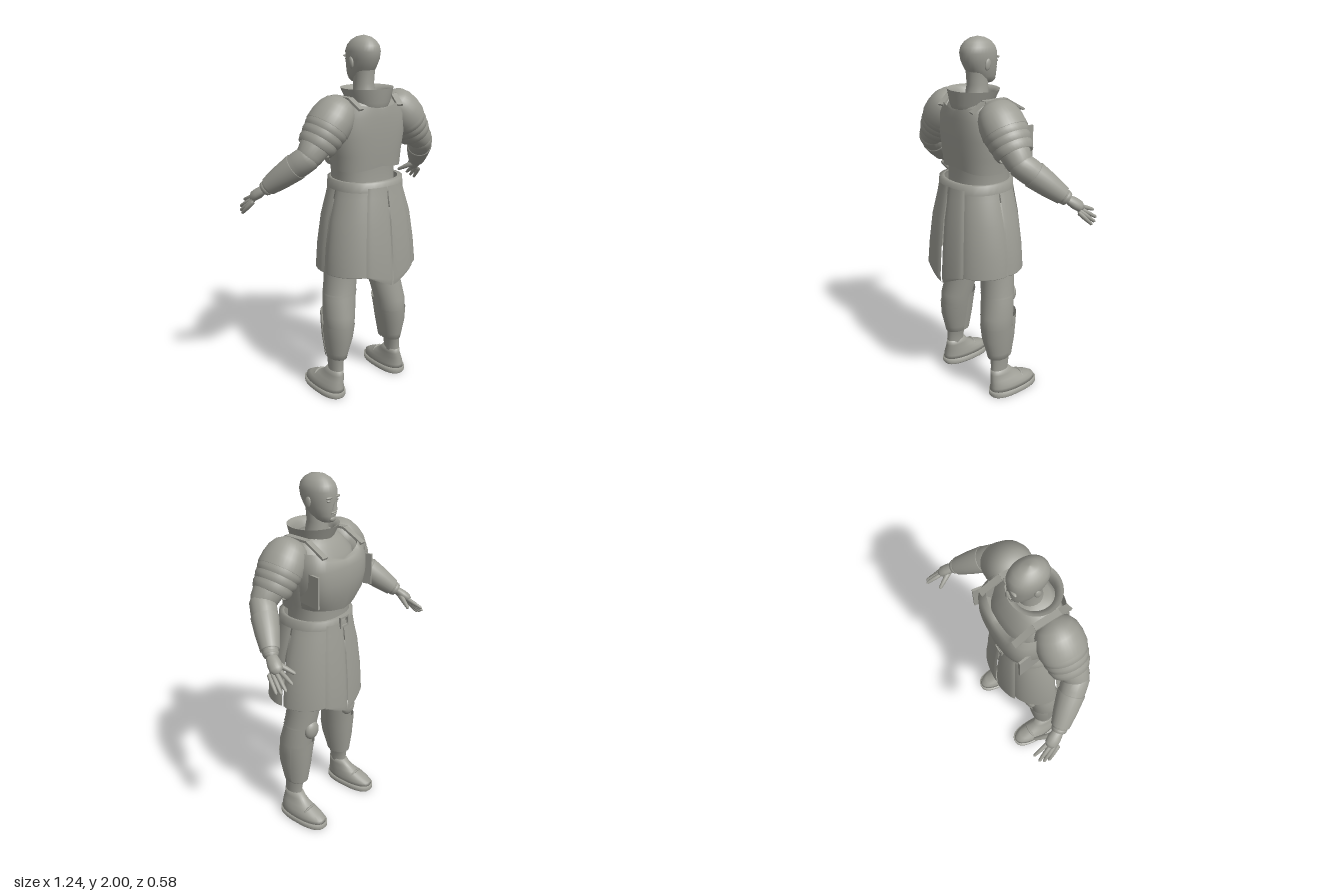
import * as THREE from 'three';

const PI = Math.PI;
const gray = new THREE.MeshStandardMaterial({ color: 0x9d9d95, side: THREE.DoubleSide });
gray.name = 'stone gray';
const V = (x, y, z) => new THREE.Vector3(x, y, z);

function add(parent, name, geo) {
  const mesh = new THREE.Mesh(geo, gray);
  mesh.name = name;
  parent.add(mesh);
  return mesh;
}

// Stack of rounded horizontal sections [y, x0, x1, z0, z1], from low to high.
// Angle 0 is +z, PI is -z; a partial arc makes an open plate.
function loft(secs, { a0 = 0, a1 = 2 * PI, n = 32, pow = 2, cap = false, warp } = {}) {
  const closed = a1 - a0 > 6.28, cols = closed ? n : n + 1;
  const pos = [], idx = [], p = V(0, 0, 0);
  const rows = cap ? [[secs[0], 0], ...secs.map(s => [s, 1]), [secs.at(-1), 0]] : secs.map(s => [s, 1]);
  rows.forEach(([[y, x0, x1, z0, z1], k], i) => {
    for (let j = 0; j < cols; j++) {
      const t = a0 + (a1 - a0) * j / n, s = Math.sin(t), c = Math.cos(t);
      const q = k / Math.pow(Math.abs(s) ** pow + Math.abs(c) ** pow, 1 / pow);
      p.set((x0 + x1) / 2 + (x1 - x0) / 2 * s * q, y, (z0 + z1) / 2 + (z1 - z0) / 2 * c * q);
      if (warp) warp(p, i / (rows.length - 1), j / n);
      pos.push(p.x, p.y, p.z);
    }
  });
  for (let i = 0; i < rows.length - 1; i++)
    for (let j = 0; j < n; j++) {
      const a = i * cols + j, b = i * cols + (j + 1) % cols;
      idx.push(a, b, b + cols, a, b + cols, a + cols);
    }
  const g = new THREE.BufferGeometry();
  g.setAttribute('position', new THREE.Float32BufferAttribute(pos, 3));
  g.setIndex(idx);
  g.computeVertexNormals();
  return g;
}

// Symmetric sections [y, halfWidth, z0, z1]
const sym = list => list.map(([y, w, z0, z1]) => [y, -w, w, z0, z1]);

// Turned shape along a to b; profile of [radius, fraction of the length]
function limb(parent, name, a, b, profile, scaleZ = 1, sides = 24) {
  const dir = b.clone().sub(a), len = dir.length();
  const m = add(parent, name, new THREE.LatheGeometry(
    profile.map(([r, t]) => new THREE.Vector2(r, t * len)), sides));
  m.position.copy(a);
  m.quaternion.setFromUnitVectors(V(0, 1, 0), dir.normalize());
  m.scale.z = scaleZ;
  return m;
}

function ball(parent, name, x, y, z, rx, ry, rz) {
  const m = add(parent, name, new THREE.SphereGeometry(1, 20, 14));
  m.position.set(x, y, z);
  m.scale.set(rx, ry, rz);
  return m;
}

function box(parent, name, w, h, d, x, y, z) {
  const m = add(parent, name, new THREE.BoxGeometry(w, h, d));
  m.position.set(x, y, z);
  return m;
}

// Flat bar between two points
function bar(parent, name, a, b, w, h) {
  const m = box(parent, name, w, h, a.distanceTo(b), 0, 0, 0);
  m.position.copy(a).lerp(b, 0.5);
  m.lookAt(b);
}

function buildHead() {
  const g = new THREE.Group();
  g.name = 'head';
  add(g, 'neck', loft(sym([[1.62, .075, -.04, .12], [1.70, .06, -.035, .09], [1.76, .053, -.035, .08], [1.83, .056, -.03, .085]])));
  add(g, 'skull', loft(sym([[1.763, .026, -.068, -.01], [1.775, .042, -.08, .035], [1.80, .058, -.086, .066], [1.84, .069, -.088, .094],
    [1.88, .077, -.088, .114], [1.92, .08, -.088, .121], [1.95, .073, -.076, .114], [1.975, .056, -.054, .094],
    [1.992, .032, -.022, .065], [2, .004, .018, .026]]), { cap: true, pow: 2.1 }));
  const nose = add(g, 'nose', new THREE.ConeGeometry(.017, .05, 8));
  nose.position.set(0, 1.857, -.092);
  nose.rotation.x = -.2;
  ball(g, 'upperLip', 0, 1.818, -.086, .021, .005, .008);
  ball(g, 'lowerLip', 0, 1.809, -.085, .018, .005, .008);
  ball(g, 'chin', 0, 1.782, -.075, .022, .016, .013);
  for (const s of [-1, 1]) {
    ball(g, 'brow', s * .03, 1.893, -.079, .024, .007, .01);
    ball(g, 'eye', s * .03, 1.876, -.076, .014, .007, .008);
    ball(g, 'ear', s * .08, 1.865, .018, .009, .03, .018).rotation.x = -.2;
  }
  return g;
}

function buildTorso() {
  const g = new THREE.Group();
  g.name = 'torso';
  add(g, 'undersuit', loft(sym([[1.1, .18, -.13, .17], [1.25, .172, -.13, .16], [1.34, .175, -.13, .155], [1.5, .2, -.145, .165],
    [1.6, .2, -.12, .165], [1.66, .16, -.07, .15], [1.70, .09, -.04, .12]]), { cap: true, pow: 2.4 }));
  // Breastplate with a dipped neckline and a pointed lower edge
  add(g, 'breastplate', loft(sym([[1.335, .178, -.15, .18], [1.40, .205, -.18, .18], [1.48, .222, -.191, .18],
    [1.56, .226, -.188, .18], [1.61, .215, -.172, .18], [1.645, .2, -.15, .18]]), {
    a0: PI * .56, a1: PI * 1.44, n: 40, pow: 3.4, warp(p, v) {
      const c = Math.max(0, 1 - Math.abs(p.x) / .13);
      if (v > .7) p.y -= .055 * Math.sqrt(c) * (v - .7) / .3;
      if (v === 0) p.y -= .02 * c;
      p.z -= .008 * c * (1 - v);
    } }));
  add(g, 'backplate', loft(sym([[1.32, .2, -.15, .172], [1.4, .208, -.16, .178], [1.5, .226, -.17, .184], [1.6, .215, -.16, .184], [1.67, .17, -.14, .178]]), {
    a0: -PI * .5, a1: PI * .5, n: 40, pow: 2.7, warp(p, v) {
      const c = Math.max(0, 1 - Math.abs(p.x) / .15);
      if (v === 0) p.y += .018 * c;
      if (v === 1) p.y -= .03 * c;
    } }));
  for (const s of [-1, 1]) {
    box(g, 'sidePlate', .012, .17, .13, s * .212, 1.47, -.105).rotation.y = s * -.15;
    bar(g, 'frontStrap', V(s * .155, 1.63, -.155), V(s * .15, 1.695, -.04), .035, .012);
    bar(g, 'topStrap', V(s * .15, 1.695, -.045), V(s * .145, 1.695, .1), .035, .012);
    bar(g, 'backStrap', V(s * .145, 1.695, .095), V(s * .13, 1.645, .165), .035, .012);
  }
  // Flared collar with an inner wall
  add(g, 'collar', loft(sym([[1.645, .105, -.045, .168], [1.67, .115, -.055, .176], [1.74, .143, -.085, .184]])));
  add(g, 'collarLining', loft(sym([[1.67, .09, -.04, .15], [1.72, .105, -.055, .15], [1.735, .13, -.074, .172], [1.74, .143, -.085, .184]])));
  add(g, 'belt', loft(sym([[1.215, .204, -.152, .222], [1.265, .2, -.152, .22], [1.265, .18, -.13, .19]]), { pow: 2.3 }));
  // Square buckle frame
  for (const s of [-1, 1]) {
    box(g, 'buckleSide', .01, .06, .014, s * .03, 1.24, -.158);
    box(g, 'buckleBar', .07, .01, .014, 0, 1.24 + s * .026, -.158);
  }
  return g;
}

// Eight hanging panels; the middle ones reach down to a point
function buildSkirt() {
  const g = new THREE.Group();
  g.name = 'skirt';
  const rings = o => sym([[.765, .285, -.185, .268], [.77, .289, -.188, .272], [.9, .278, -.182, .262], [1.06, .252, -.168, .245], [1.18, .214, -.152, .222], [1.24, .197, -.145, .213]]
    .map(([y, w, a, b]) => [y, w + o, a - o, b + o]));
  const panel = (name, a0, a1, o, point) => add(g, name, loft(rings(o), {
    a0, a1, n: 14, pow: 2.25, warp(p, v, u) {
      const edge = Math.abs(u - .5) * 2;
      const inset = 1 - .025 * edge ** 6;
      p.x *= inset;
      p.z = .04 + (p.z - .04) * inset;
      if (point) p.y -= (1 - v) ** 3 * .07 * Math.max(0, 1 - Math.abs(p.x) / .15);
    } }));
  for (const s of [0, PI]) {
    panel(s ? 'frontTab' : 'backTab', s + .02, s + .56, .012, true);
    panel(s ? 'frontTab' : 'backTab', s - .56, s - .02, .012, true);
    panel('sidePanel', s + .5, s + PI / 2 - .025, 0);
    panel('sidePanel', s - PI / 2 + .025, s - .5, 0);
  }
  return g;
}

function buildLeg() {
  const g = new THREE.Group();
  g.name = 'leg';
  add(g, 'legBody', loft([[.1, .178, .25, -.03, .092], [.16, .176, .248, -.02, .088], [.235, .17, .25, -.03, .09], [.3, .14, .255, -.045, .108],
    [.42, .108, .272, -.055, .133], [.5, .098, .274, -.062, .13], [.6, .075, .262, -.075, .108], [.7, .062, .244, -.09, .1],
    [.8, .05, .238, -.1, .1], [1.0, .015, .225, -.12, .13], [1.15, .0, .18, -.12, .15]], { cap: true }));
  add(g, 'legCuff', loft([[.228, .165, .235, -.025, .08], [.235, .15, .254, -.04, .1], [.27, .143, .26, -.043, .108], [.36, .12, .272, -.056, .131], [.44, .104, .278, -.062, .136]]));
  add(g, 'shinPlate', loft([[.245, .136, .262, -.05, .11], [.36, .115, .277, -.066, .12], [.46, .1, .283, -.074, .12], [.525, .092, .28, -.08, .12]],
    { a0: PI * .58, a1: PI * 1.48, n: 20, warp(p, v) { if (v === 1) p.y -= .02 * Math.min(1, Math.abs(p.x - .18) / .08); } }));
  ball(g, 'kneePad', .168, .6, -.068, .05, .057, .034);
  add(g, 'kneeBand', loft([[.617, .072, .262, -.078, .109], [.627, .07, .26, -.08, .108]]));
  // Shoe
  add(g, 'sole', loft([[0, .158, .295, -.21, .102], [.006, .156, .298, -.215, .105], [.035, .156, .298, -.215, .105]], { cap: true, pow: 2.6 }));
  add(g, 'shoe', loft([[.03, .16, .294, -.21, .102], [.055, .162, .29, -.203, .1], [.075, .166, .284, -.17, .098], [.1, .172, .268, -.1, .096],
    [.13, .175, .254, -.055, .093], [.16, .177, .249, -.03, .09]], { cap: true, pow: 2.3 }));
  const strap = add(g, 'shoeStrap', new THREE.TorusGeometry(.052, .007, 8, 24, PI));
  strap.position.set(.224, .052, -.085);
  strap.rotation.x = -.4;
  return g;
}

function buildArm() {
  const g = new THREE.Group();
  g.name = 'arm';
  const shoulder = V(.2, 1.63, .05), elbow = V(.385, 1.42, .06), wrist = V(.535, 1.24, -.13), knuckle = V(.568, 1.19, -.2);
  limb(g, 'upperArm', shoulder, elbow, [[0, -.1], [.08, 0], [.088, .4], [.078, .8], [.068, 1], [.04, 1.18], [0, 1.25]]);
  limb(g, 'forearm', elbow, wrist, [[0, -.2], [.05, -.13], [.067, 0], [.068, .2], [.055, .6], [.036, 1], [0, 1.05]]);
  limb(g, 'bracer', elbow, wrist, [[.064, .28], [.071, .29], [.062, .6], [.049, .89], [.043, .9]]);
  limb(g, 'wristBand', elbow, wrist, [[.036, .93], [.041, .935], [.039, .98], [.034, .985]]);
  // Layered shoulder guard
  const end = V(.335, 1.462, .05);
  limb(g, 'shoulderCap', shoulder, end, [[0, -.36], [.045, -.32], [.08, -.2], [.1, -.03], [.111, .2], [.114, .45], [.107, .46]], 1.1, 36);
  [[.109, .4, .104, .64], [.104, .58, .098, .82], [.097, .76, .09, 1.03]].forEach(([r0, t0, r1, t1]) =>
    limb(g, 'shoulderLame', shoulder, end, [[r0, t0], [r0 + .002, (t0 + t1) / 2], [r1, t1], [r1 - .009, t1 + .005]], 1.1, 36));
  // Hand
  limb(g, 'palm', wrist, knuckle, [[.02, -.15], [.03, .1], [.036, .5], [.034, .85], [.02, 1.05], [0, 1.1]], .75);
  const tips = [[.566, 1.155, -.295], [.598, 1.125, -.283], [.61, 1.108, -.262], [.616, 1.1, -.235]];
  tips.forEach((t, i) => {
    const base = V(.553 + i * .012, 1.195 - i * .008, -.197 + i * .011);
    limb(g, 'finger', base, V(...t), [[.0, -.1], [.012, 0], [.0115, .5], [.008, .92], [0, 1]], 1, 10);
  });
  limb(g, 'thumb', V(.535, 1.215, -.16), V(.492, 1.165, -.25), [[0, -.1], [.017, 0], [.013, .5], [.009, .92], [0, 1]], 1, 10);
  return g;
}

export function createModel() {
  const model = new THREE.Group();
  model.name = 'armoredFigure';
  model.add(buildHead(), buildTorso(), buildSkirt());
  for (const s of [1, -1])
    for (const limbGroup of [buildLeg(), buildArm()]) {
      limbGroup.scale.x = s;
      model.add(limbGroup);
    }
  return model;
}
